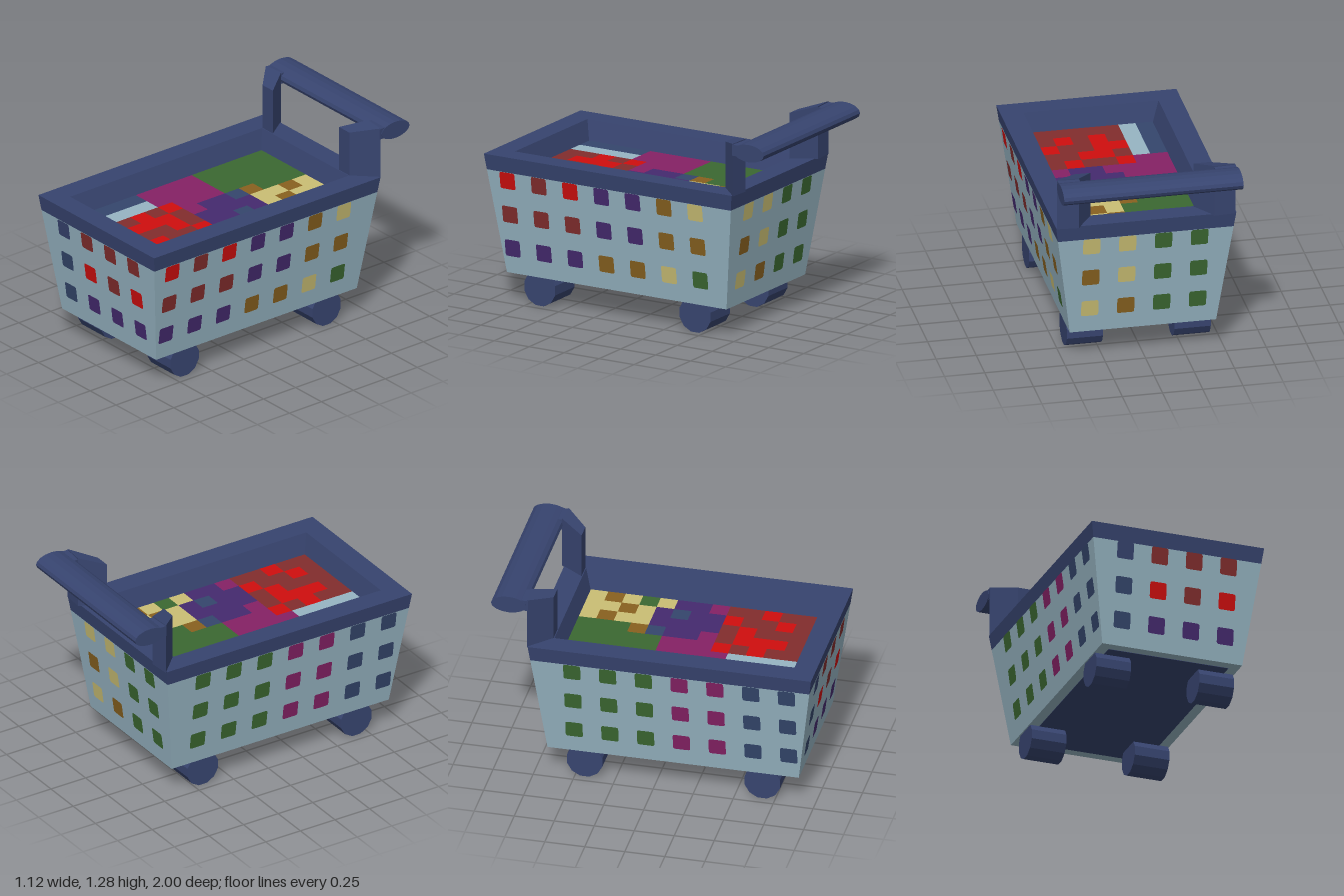
import * as THREE from 'three';
import { mergeGeometries } from 'three/addons/utils/BufferGeometryUtils.js';

const CZ = 0.115; // centre of the basket along z
const halfX = y => 0.455 + (y - 0.18) * 0.138;
const halfZ = y => 0.785 + (y - 0.18) * 0.132;

const paint = (name, color) => {
  const m = new THREE.MeshStandardMaterial({ color });
  m.name = name;
  return m;
};

// Skin of rectangular rings given as [half width, half depth, height]
function loft(rings) {
  const corners = [[1, 1], [1, -1], [-1, -1], [-1, 1]];
  const pos = [];
  const point = ([hx, hz, y], k) => {
    const [sx, sz] = corners[k % 4];
    return [sx * hx, y, sz * hz];
  };
  for (let i = 0; i + 1 < rings.length; i++) {
    for (let k = 0; k < 4; k++) {
      const a = point(rings[i], k), b = point(rings[i], k + 1);
      const c = point(rings[i + 1], k + 1), d = point(rings[i + 1], k);
      pos.push(...a, ...b, ...c, ...a, ...c, ...d);
    }
  }
  const g = new THREE.BufferGeometry();
  g.setAttribute('position', new THREE.Float32BufferAttribute(pos, 3));
  g.computeVertexNormals();
  return g.translate(0, 0, CZ);
}

// Rounded square face centred on (u, v)
function tile(u, v, size, r) {
  const s = new THREE.Shape(), h = size / 2;
  s.moveTo(u - h + r, v - h);
  s.lineTo(u + h - r, v - h).quadraticCurveTo(u + h, v - h, u + h, v - h + r);
  s.lineTo(u + h, v + h - r).quadraticCurveTo(u + h, v + h, u + h - r, v + h);
  s.lineTo(u - h + r, v + h).quadraticCurveTo(u - h, v + h, u - h, v + h - r);
  s.lineTo(u - h, v - h + r).quadraticCurveTo(u - h, v - h, u - h + r, v - h);
  return new THREE.ShapeGeometry(s, 3);
}

export function createModel() {
  const model = new THREE.Group();
  model.name = 'shoppingCart';
  const colors = {
    N: paint('navy', 0x37446f), L: paint('paleBlue', 0x96b4c2),
    R: paint('red', 0xcf0e0e), D: paint('darkRed', 0x822d2d),
    P: paint('purple', 0x452a6f), M: paint('magenta', 0x852165),
    G: paint('green', 0x3b6831), T: paint('tan', 0xcabe74),
    B: paint('brown', 0x88611f), S: paint('slate', 0x34466c),
  };
  const add = (name, geometry, key, parent = model) => {
    const mesh = new THREE.Mesh(geometry, colors[key]);
    mesh.name = name;
    parent.add(mesh);
    return mesh;
  };
  // One mesh for each colour from lists of faces
  const addByColor = (name, lists) => {
    const group = new THREE.Group();
    group.name = name;
    for (const key in lists) add(`${name}_${colors[key].name}`, mergeGeometries(lists[key]), key, group);
    model.add(group);
  };

  // Tapered basket, rim and underside
  add('basket', loft([[0.38, 0.71, 0.18], [halfX(0.18), halfZ(0.18), 0.18], [halfX(0.84), halfZ(0.84), 0.84]]), 'L');
  add('rim', loft([
    [halfX(0.84), halfZ(0.84), 0.84], [halfX(0.94), halfZ(0.94), 0.94],
    [0.42, 0.75, 0.94], [0.375, 0.71, 0.81],
  ]), 'N');
  add('underside', new THREE.BoxGeometry(0.78, 0.008, 1.44).translate(0, 0.182, CZ), 'N');

  // Coloured openings, each wall read from outside, left to right and top to bottom
  const walls = [
    { rows: ['NDDD', 'SRDR', 'SPPP'], turn: 0, half: halfZ, mid: 0 },
    { rows: ['RDRPPBT', 'DDDPPBB', 'PPPBBTG'], turn: Math.PI / 2, half: halfX, mid: -0.0575 },
    { rows: ['TTGG', 'BTGG', 'TBGG'], turn: Math.PI, half: halfZ, mid: 0 },
    { rows: ['GGGMMSS', 'GGGMMSS', 'GGGMMSS'], turn: -Math.PI / 2, half: halfX, mid: 0.0575 },
  ];
  const openings = {};
  for (const { rows, turn, half, mid } of walls) {
    rows.forEach((row, j) => [...row].forEach((key, i) => {
      const u = mid + (i - (row.length - 1) / 2) * 0.2235;
      const g = tile(u, 0.786 - j * 0.221, 0.107, 0.014);
      const p = g.attributes.position;
      for (let n = 0; n < p.count; n++) p.setZ(n, half(p.getY(n)) + 0.003);
      g.computeVertexNormals();
      g.rotateY(turn).translate(0, 0, CZ);
      (openings[key] ??= []).push(g);
    }));
  }
  addByColor('openings', openings);

  // Goods filling the basket, from back to front
  const goodsRows = [
    'GGGGTTT', 'GGGGBTB', 'GGGGTBT', 'GGGBTTG', 'GGGSPPT', 'MMMPPSP', 'MMMPPPP',
    'MMMMPPM', 'MMRDDRD', 'SLDRRDD', 'SLRRDDR', 'SLDRDRD', 'SLDDDDD',
  ];
  const cellX = 0.75 / 7, cellZ = 1.42 / 13;
  const goods = {};
  goodsRows.forEach((row, j) => [...row].forEach((key, i) => {
    const g = new THREE.PlaneGeometry(cellX, cellZ).rotateX(-Math.PI / 2);
    g.translate(-0.375 + (i + 0.5) * cellX, 0.82, CZ - 0.71 + (j + 0.5) * cellZ);
    (goods[key] ??= []).push(g);
  }));
  addByColor('goods', goods);

  // Twelve-sided wheels resting on a flat side
  for (const side of [1, -1]) {
    for (const z of [0.67, -0.44]) {
      const g = new THREE.CylinderGeometry(0.114, 0.114, 0.225, 12).rotateY(Math.PI / 12).rotateZ(Math.PI / 2);
      const wheel = add('wheel', g.toNonIndexed(), 'N');
      wheel.geometry.computeVertexNormals();
      wheel.position.set(side * 0.335, 0.11, z);
    }
  }

  // Slanted handle posts whose tops rise towards the bar
  for (const side of [1, -1]) {
    const section = [[0.555, 0.775], [0.42, 0.64], [0.32, 0.64], [0.42, 0.785]];
    const shape = new THREE.Shape(section.map(([x, z]) => new THREE.Vector2(side * x, z)));
    const g = new THREE.ExtrudeGeometry(shape, { depth: 0.3, bevelEnabled: false }).rotateX(-Math.PI / 2);
    const p = g.attributes.position;
    for (let n = 0; n < p.count; n++) {
      p.setY(n, p.getY(n) > 0.1 ? 1.23 + (-p.getZ(n) - 0.64) * 0.28 : 0.935);
    }
    g.computeVertexNormals();
    add('handlePost', g, 'N');
    add('handleJoint', new THREE.BoxGeometry(0.134, 0.07, 0.09).translate(side * 0.487, 1.228, -0.815), 'N');
  }

  // Oval push bar
  const bar = new THREE.CylinderGeometry(0.11, 0.11, 1.115, 16).rotateZ(Math.PI / 2).scale(1, 0.5, 1).toNonIndexed();
  bar.computeVertexNormals();
  add('handleBar', bar, 'N').position.set(0, 1.225, -0.89);

  return model;
}
